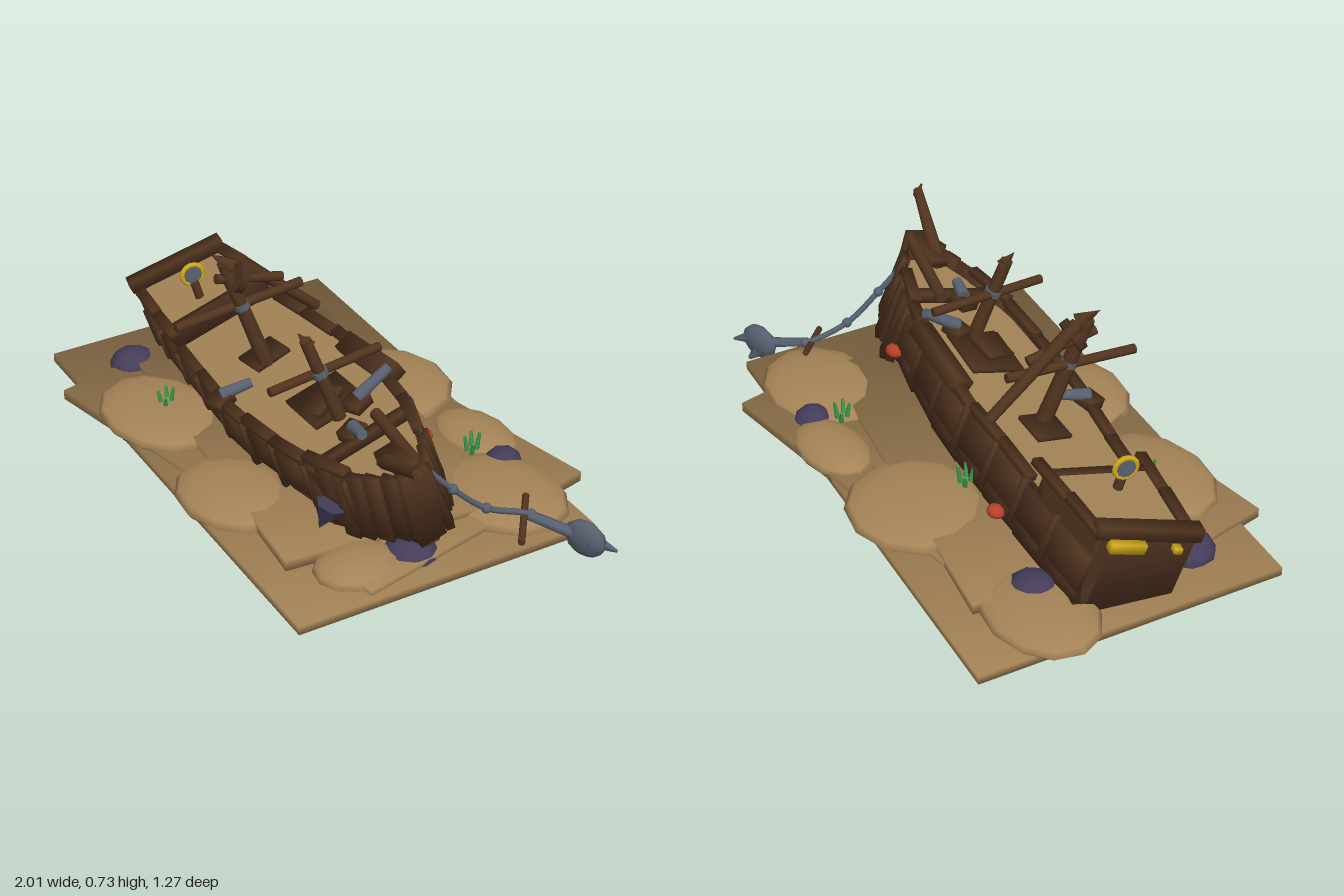
import * as THREE from 'three';

const mat = (name, color) => Object.assign(new THREE.MeshStandardMaterial({ color }), { name });

export function createModel() {
  const M = {
    sand: mat('sand', 0xa58457), wood: mat('dark wood', 0x51341f), plank: mat('plank wood', 0x4a2f1e),
    rock: mat('purple rock', 0x453d5a), iron: mat('iron', 0x586070), gold: mat('gold', 0xd2ac1c),
    coral: mat('red coral', 0xb8402a), weed: mat('green weed', 0x3a9a4c), hull: mat('hull wood', 0x4d311f),
  };
  M.hull.side = THREE.DoubleSide;
  const root = new THREE.Group();
  root.name = 'shipwreck';
  let seed = 7;
  const rnd = (a, b) => { seed = (seed * 16807) % 2147483647; return a + (b - a) * seed / 2147483647; };
  const V = (p) => new THREE.Vector3(...p);

  function add(parent, name, geo, material, pos = [0, 0, 0], rot = [0, 0, 0], scale = [1, 1, 1]) {
    const m = new THREE.Mesh(geo, material);
    m.name = name;
    m.position.set(...pos); m.rotation.set(...rot); m.scale.set(...scale);
    parent.add(m);
    return m;
  }
  // Box with soft shading: each corner has one shared normal
  function box(parent, name, material, size, pos, rot) {
    const g = new THREE.BoxGeometry(...size), p = g.attributes.position;
    for (let i = 0; i < p.count; i++) {
      const v = new THREE.Vector3(Math.sign(p.getX(i)), Math.sign(p.getY(i)), Math.sign(p.getZ(i))).normalize();
      g.attributes.normal.setXYZ(i, v.x, v.y, v.z);
    }
    return add(parent, name, g, material, pos, rot);
  }
  function rod(parent, name, material, a, b, r0, r1 = r0, sides = 8) {
    const d = V(b).sub(V(a));
    const m = add(parent, name, new THREE.CylinderGeometry(r1, r0, d.length(), sides), material);
    m.position.copy(V(a)).addScaledVector(d, 0.5);
    m.quaternion.setFromUnitVectors(new THREE.Vector3(0, 1, 0), d.normalize());
    return m;
  }

  // Sea bed: overlapping slabs and flattened mounds (x, z, rx, rz, y, ry)
  box(root, 'sandSlab', M.sand, [1.727, 0.03, 1.04], [-0.075, 0.09, -0.005], [0, -0.14, 0]);
  box(root, 'sandSlab', M.sand, [1.49, 0.034, 0.914], [-0.06, 0.105, -0.02], [0, 0.087, 0]);
  box(root, 'sandSlab', M.sand, [1.296, 0.04, 0.727], [-0.08, 0.123, 0], [0, -0.227, 0]);
  const mounds = [[-0.75, -0.34, 0.22, 0.17, 0.118, 0.042], [-0.13, -0.36, 0.24, 0.23, 0.12, 0.044], [0.27, -0.42, 0.17, 0.11, 0.115, 0.04],
    [0.57, -0.27, 0.24, 0.19, 0.11, 0.05], [-0.45, 0.32, 0.25, 0.19, 0.12, 0.043], [0.06, 0.39, 0.22, 0.18, 0.11, 0.05],
    [0.58, 0.32, 0.12, 0.14, 0.108, 0.045]];
  for (const [x, z, rx, rz, y, ry] of mounds)
    add(root, 'sandMound', new THREE.SphereGeometry(1, 12, 8), M.sand, [x, y, z], [0, 0, 0], [rx, ry, rz]);

  // Rocks, some showing only under the bed (x, z, r, y, ry)
  const rocks = [[-0.66, -0.30, 0.09, 0.112, 0.068], [0.44, -0.39, 0.065, 0.105, 0.062], [-0.78, 0.21, 0.085, 0.105, 0.062],
    [0.62, 0.14, 0.09, 0.102, 0.058], [-0.04, -0.39, 0.095, 0.085, 0.036], [-0.455, 0.395, 0.08, 0.085, 0.036]];
  rocks.forEach(([x, z, r, y, ry], i) =>
    add(root, 'rock', new THREE.IcosahedronGeometry(1, 1), M.rock, [x, y, z], [0, i, 0], [r, ry, r * 0.95]));
  add(root, 'hangingRock', new THREE.ConeGeometry(0.048, 0.09, 6), M.rock, [0.44, 0.215, 0.33], [2.8, 0, 0.2]);

  // Ship frame: yawed, pitched and heeled; origin at the middle of the deck
  const ship = new THREE.Group();
  ship.name = 'ship';
  ship.position.set(-0.08, 0.33, 0.06);
  ship.rotation.set(0.3, -0.165, 0.085, 'YZX');
  root.add(ship);

  // Stations: x, half width, bulwark height, keel depth
  const st = [[-0.79, 0.155, 0.1, 0.24], [-0.5, 0.184, 0.09, 0.245], [-0.48, 0.184, 0.03, 0.245], [0, 0.222, 0.03, 0.265],
    [0.4, 0.19, 0.04, 0.27], [0.62, 0.13, 0.06, 0.265], [0.78, 0.045, 0.07, 0.22]];
  const at = (x, k) => {
    let i = 0;
    while (i < st.length - 2 && x > st[i + 1][0]) i++;
    const t = (x - st[i][0]) / (st[i + 1][0] - st[i][0]);
    return st[i][k] + (st[i + 1][k] - st[i][k]) * t;
  };
  const pos = [], idx = [], n = 8;
  for (const [x, w, h, d] of st) {
    const half = [[h, w], [-0.1, w], [-0.18, w * 0.85], [-d, w * 0.42]];
    for (const [y, z] of half) pos.push(x, y, z);
    for (const [y, z] of half.reverse()) pos.push(x, y, -z);
  }
  for (let i = 0; i < st.length - 1; i++) for (let j = 0; j < n - 1; j++) {
    const a = i * n + j, b = a + n;
    idx.push(a, a + 1, b, b, a + 1, b + 1);
  }
  for (let j = 1; j < n - 1; j++) {
    const e = (st.length - 1) * n;
    idx.push(0, j + 1, j, e, e + j, e + j + 1);
  }
  let g = new THREE.BufferGeometry();
  g.setAttribute('position', new THREE.Float32BufferAttribute(pos, 3));
  g.setIndex(idx);
  g = g.toNonIndexed();
  g.computeVertexNormals();
  add(ship, 'hull', g, M.hull);

  // Decks follow the plan of the hull
  function deck(name, x0, x1, y) {
    const xs = [x0, ...st.map((s) => s[0]).filter((x) => x > x0 && x < x1), x1];
    const pts = xs.map((x) => [x, at(x, 1) - 0.008]);
    const s = new THREE.Shape([...pts, ...pts.slice().reverse().map(([x, z]) => [x, -z])].map((p) => new THREE.Vector2(...p)));
    add(ship, name, new THREE.ExtrudeGeometry(s, { depth: 0.02, bevelEnabled: false }), M.sand, [0, y, 0], [-Math.PI / 2, 0, 0]);
  }
  deck('mainDeck', -0.5, 0.74, -0.005);
  deck('poopDeck', -0.78, -0.49, 0.072);
  box(ship, 'poopWall', M.plank, [0.025, 0.1, 0.37], [-0.485, 0.05, 0]);

  // Side planks, rails and bottom strakes on both sides
  for (const s of [1, -1]) {
    for (let i = 0; i < 8; i++) {
      const x = -0.69 + i * 0.175, w = at(x, 1);
      const turn = s * Math.atan2(at(x - 0.09, 1) - at(x + 0.09, 1), 0.18);
      box(ship, 'sidePlank', i % 2 ? M.plank : M.wood, [rnd(0.17, 0.2), rnd(0.11, 0.14), 0.022],
        [x, -0.045, s * (w + 0.008)], [0, turn, rnd(-0.04, 0.04)]);
      box(ship, 'lowerPlank', M.plank, [rnd(0.16, 0.2), 0.09, 0.02],
        [x, -0.14, s * (w * 0.93 + 0.006)], [s * 0.3, turn, rnd(-0.04, 0.04)]);
      box(ship, 'rail', M.wood, [0.185, 0.022, 0.035], [x, at(x, 2) + 0.005, s * w], [0, turn, rnd(-0.04, 0.04)]);
      box(ship, 'rib', M.wood, [0.022, 0.17, 0.02], [x + 0.085, -0.05, s * (at(x + 0.085, 1) + 0.018)], [0, turn, 0]);
    }
    // Splayed planks around the bow
    for (let i = 0; i < 6; i++) {
      const x = 0.47 + i * 0.058;
      box(ship, 'bowPlank', i % 2 ? M.plank : M.wood, [0.055, rnd(0.22, 0.27), 0.026],
        [x, -0.08 + s * 0.01 + rnd(-0.01, 0.03), s * (at(x, 1) + 0.01)], [s * -0.06, s * 0.42, rnd(-0.12, 0.06)]);
    }
  }
  for (let i = 0; i < 5; i++) box(ship, 'keelStrake', i % 2 ? M.wood : M.plank,
    [1.25 - 0.06 * (i % 3), 0.02, 0.032], [-0.1, -0.25 + 0.006 * (i % 2), -0.066 + i * 0.036], [0, 0, -0.02]);
  box(ship, 'stem', M.wood, [0.04, 0.29, 0.09], [0.785, -0.06, 0], [0, 0, -0.12]);
  box(ship, 'bowRail', M.wood, [0.16, 0.025, 0.07], [0.72, 0.075, 0], [0, 0, 0.06]);

  // Stern transom, slightly askew, with gilded trim
  const stern = new THREE.Group();
  stern.name = 'stern';
  stern.position.set(-0.79, 0, 0);
  stern.rotation.y = -0.13;
  ship.add(stern);
  box(stern, 'transom', M.plank, [0.03, 0.3, 0.32], [0, -0.05, 0]);
  box(stern, 'transomRail', M.wood, [0.05, 0.045, 0.35], [0, 0.115, 0]);
  box(stern, 'sternTrim', M.gold, [0.035, 0.035, 0.115], [-0.033, 0.08, -0.075]);
  box(stern, 'sternTrim', M.gold, [0.035, 0.02, 0.025], [-0.025, 0.07, 0.1]);

  // Hatches and deck wreckage
  box(ship, 'hatch', M.plank, [0.12, 0.016, 0.13], [-0.18, 0.02, 0.0], [0, 0.1, 0]);
  box(ship, 'hatch', M.plank, [0.2, 0.016, 0.19], [0.21, 0.02, -0.02]);
  box(ship, 'hatchLid', M.wood, [0.11, 0.02, 0.12], [0.22, 0.04, 0.0], [0.15, 0.3, 0.1]);
  box(ship, 'brokenRail', M.wood, [0.3, 0.05, 0.07], [0.17, 0.04, -0.215], [0.3, 0.05, 0.03]);
  box(ship, 'forecastleBeam', M.wood, [0.035, 0.035, 0.3], [0.5, 0.04, 0]);

  // Helm
  add(root, 'helmWheel', new THREE.TorusGeometry(0.036, 0.009, 6, 14), M.gold, [-0.67, 0.445, 0.03], [0, 1.3, 0]);
  add(root, 'helmHub', new THREE.CylinderGeometry(0.031, 0.031, 0.016, 10), M.iron, [-0.67, 0.445, 0.03], [0, -0.27, Math.PI / 2]);
  rod(root, 'helmPost', M.wood, [-0.65, 0.34, 0.01], [-0.66, 0.42, 0.03], 0.016);

  // Broken masts and yards
  rod(root, 'mainMast', M.wood, [-0.22, 0.31, 0.05], [-0.29, 0.71, 0.17], 0.028, 0.022);
  add(root, 'mastSplinter', new THREE.ConeGeometry(0.03, 0.08, 5), M.wood, [-0.29, 0.72, 0.175], [0.9, 0, 0.5]);
  rod(root, 'mainYard', M.wood, [-0.3, 0.53, 0.35], [-0.24, 0.57, -0.1], 0.016);
  rod(root, 'fallenSpar', M.wood, [-0.29, 0.71, 0.13], [-0.25, 0.45, -0.17], 0.022, 0.018);
  rod(root, 'topYard', M.wood, [-0.29, 0.66, 0.2], [-0.25, 0.61, -0.03], 0.016);
  add(root, 'mastTop', new THREE.CylinderGeometry(0.055, 0.055, 0.03, 9), M.plank, [-0.27, 0.655, 0.13], [1.1, 0, 0.15]);
  rod(root, 'foreMast', M.wood, [0.23, 0.35, 0.1], [0.175, 0.66, 0.2], 0.024, 0.02);
  add(root, 'mastSplinter', new THREE.ConeGeometry(0.024, 0.06, 5), M.wood, [0.172, 0.665, 0.205], [0.6, 0, 0.3]);
  rod(root, 'foreYard', M.wood, [0.18, 0.53, 0.34], [0.2, 0.55, -0.07], 0.015);
  for (const [x, y, z] of [[-0.262, 0.55, 0.122], [0.196, 0.54, 0.161]])
    add(root, 'mastBand', new THREE.CylinderGeometry(0.028, 0.028, 0.02, 8), M.iron, [x, y, z], [0.3, 0, 0.17]);
  rod(root, 'bowsprit', M.wood, [0.56, 0.43, 0.2], [0.82, 0.56, 0.29], 0.026, 0.016);
  rod(root, 'splinter', M.wood, [0.8, 0.555, 0.27], [0.84, 0.56, 0.32], 0.012, 0.004, 5);
  rod(root, 'looseSpar', M.wood, [0.37, 0.45, 0.08], [0.68, 0.47, 0.17], 0.02);

  // Cannons
  for (const [a, b] of [[[0.24, 0.43, 0.05], [0.26, 0.51, -0.06]], [[-0.18, 0.31, 0.27], [-0.15, 0.335, 0.17]], [[0.36, 0.43, 0.16], [0.43, 0.445, 0.18]]]) {
    rod(root, 'cannon', M.iron, a, b, 0.022, 0.017, 10);
    box(root, 'cannonCarriage', M.wood, [0.07, 0.035, 0.07], [a[0], a[1] - 0.02, a[2]], [0.3, 0.2, 0.08]);
  }

  // Anchor chain with knots, stock and anchor
  const chain = [[0.65, 0.42, 0.12], [0.68, 0.32, 0.03], [0.71, 0.22, -0.08], [0.76, 0.165, -0.22], [0.87, 0.13, -0.3]];
  add(root, 'anchorChain', new THREE.TubeGeometry(new THREE.CatmullRomCurve3(chain.map(V)), 24, 0.01, 6), M.iron);
  chain.slice(1, 4).forEach((p) => add(root, 'chainLink', new THREE.SphereGeometry(0.017, 8, 6), M.iron, p));
  rod(root, 'anchorStock', M.wood, [0.69, 0.18, -0.26], [0.83, 0.14, -0.12], 0.011);
  add(root, 'anchorHead', new THREE.SphereGeometry(1, 9, 6), M.iron, [0.91, 0.12, -0.31], [0, 0.25, 0], [0.075, 0.062, 0.032]);
  rod(root, 'anchorFluke', M.iron, [0.93, 0.13, -0.31], [1.0, 0.1, -0.36], 0.03, 0.005, 6);
  rod(root, 'anchorFluke', M.iron, [0.9, 0.1, -0.31], [0.92, 0.06, -0.35], 0.03, 0.006, 6);
  rod(root, 'anchorShank', M.iron, [0.76, 0.165, -0.21], [0.9, 0.12, -0.31], 0.015, 0.02);

  // Coral on the far hull side
  for (const p of [[0.43, -0.13, -0.205], [-0.36, -0.155, -0.212]])
    add(ship, 'coral', new THREE.IcosahedronGeometry(1, 1), M.coral, p, [0, 0, 0], [0.03, 0.022, 0.03]);

  // Weed
  for (const [x, z, y] of [[-0.45, 0.3, 0.15], [0.36, -0.325, 0.145], [-0.2, -0.225, 0.2]])
    for (let i = 0; i < 4; i++) {
      const dx = (i - 1.5) * 0.012, dz = (i % 2 - 0.5) * 0.03;
      rod(root, 'weedBlade', M.weed, [x + dx, y, z + dz], [x + dx * 1.8, y + 0.045 + 0.008 * (i % 3), z + dz * 1.5], 0.009, 0.005, 5);
    }
  return root;
}
